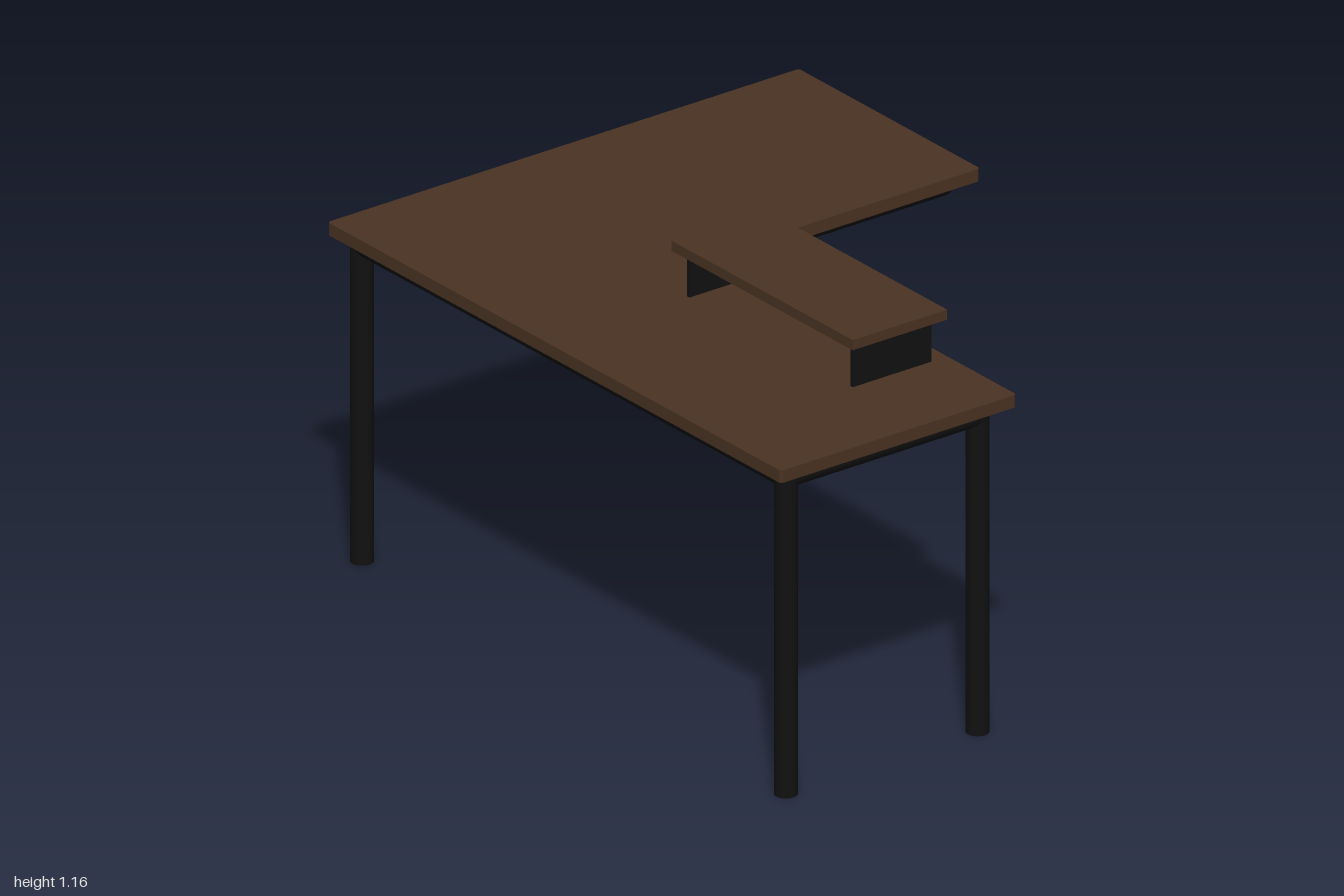
import * as THREE from 'three';

const wood = new THREE.MeshStandardMaterial({ color: 0x4a3323 });
wood.name = 'darkWood';
const metal = new THREE.MeshStandardMaterial({ color: 0x111111 });
metal.name = 'blackMetal';

const TOP = 1, THICK = 0.037, RADIUS = 0.0325;
const RAIL_Y = 0.91 + RADIUS;

function add(parent, name, geometry, material, x = 0, y = 0, z = 0) {
  const mesh = new THREE.Mesh(geometry, material);
  mesh.name = name;
  mesh.position.set(x, y, z);
  parent.add(mesh);
  return mesh;
}

// Polygon in the (x, -z) plane with every corner rounded by r
function roundedShape(points, r) {
  const pts = points.map(([x, z]) => new THREE.Vector2(x, -z));
  const shape = new THREE.Shape();
  pts.forEach((p, i) => {
    const prev = pts[(i + pts.length - 1) % pts.length];
    const next = pts[(i + 1) % pts.length];
    const a = p.clone().add(prev.clone().sub(p).setLength(r));
    const b = p.clone().add(next.clone().sub(p).setLength(r));
    if (i === 0) shape.moveTo(a.x, a.y); else shape.lineTo(a.x, a.y);
    shape.quadraticCurveTo(p.x, p.y, b.x, b.y);
  });
  shape.closePath();
  return shape;
}

export function createModel() {
  const desk = new THREE.Group();
  desk.name = 'cornerDesk';

  // L-shaped worktop with slightly rounded corners
  const outline = [[-1, 0.8], [1, 0.8], [1, 0], [-0.2, 0], [-0.2, -0.8], [-1, -0.8]];
  const topGeo = new THREE.ExtrudeGeometry(roundedShape(outline, 0.012), {
    depth: THICK, bevelEnabled: false, curveSegments: 4,
  });
  topGeo.rotateX(-Math.PI / 2);
  add(desk, 'worktop', topGeo, wood, 0, TOP - THICK, 0);

  // Tubular frame following the worktop edge
  const frame = new THREE.Group();
  frame.name = 'frame';
  desk.add(frame);
  const corners = [[-0.935, 0.733], [0.935, 0.733], [0.935, 0.083],
    [-0.283, 0.083], [-0.283, -0.733], [-0.935, -0.733]];
  corners.forEach(([x, z], i) => {
    const [nx, nz] = corners[(i + 1) % corners.length];
    const length = Math.hypot(nx - x, nz - z);
    const geo = new THREE.CylinderGeometry(RADIUS, RADIUS, length, 24);
    if (Math.abs(nx - x) > Math.abs(nz - z)) geo.rotateZ(Math.PI / 2);
    else geo.rotateX(Math.PI / 2);
    add(frame, 'rail', geo, metal, (x + nx) / 2, RAIL_Y, (z + nz) / 2);
    add(frame, 'railJoint', new THREE.SphereGeometry(RADIUS, 24, 16), metal, x, RAIL_Y, z);
  });

  // Four round legs
  const legHeight = TOP - THICK;
  for (const i of [0, 1, 2, 5]) {
    const [x, z] = corners[i];
    add(desk, 'leg', new THREE.CylinderGeometry(RADIUS, RADIUS, legHeight, 24), metal, x, legHeight / 2, z);
  }

  // Raised monitor shelf on two thin side panels
  const shelf = new THREE.Group();
  shelf.name = 'monitorShelf';
  shelf.position.set(0.33, TOP, 0.188);
  desk.add(shelf);
  add(shelf, 'shelfBoard', new THREE.BoxGeometry(0.8, 0.03, 0.32), wood, 0, 0.145, 0);
  for (const side of [-1, 1]) {
    add(shelf, 'shelfSupport', new THREE.BoxGeometry(0.01, 0.13, 0.267), metal, side * 0.36, 0.065, 0);
  }

  return desk;
}
